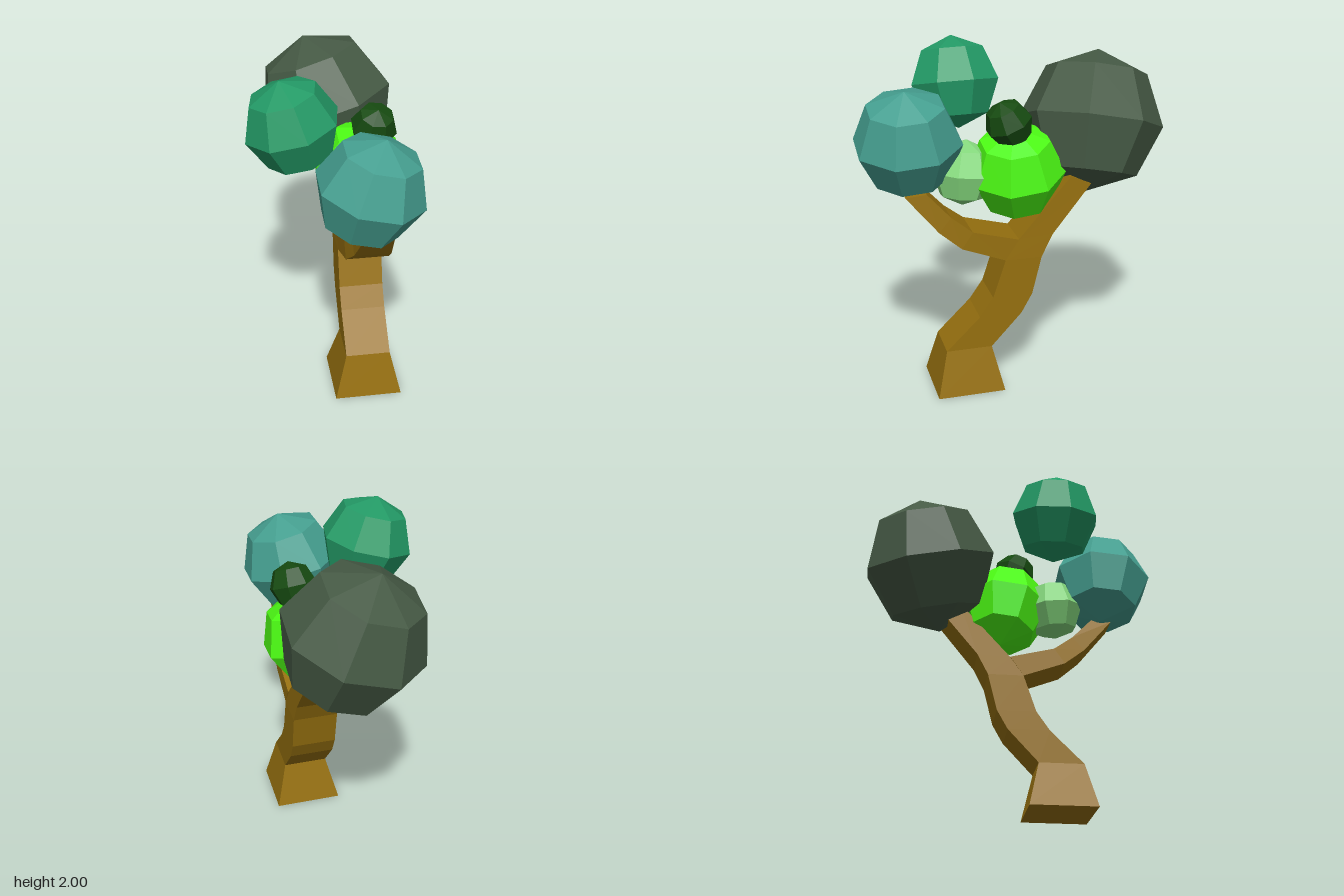
import * as THREE from 'three';

const mat = (color) => new THREE.MeshStandardMaterial({ color, flatShading: true });

// Lofts four-sided sections [frontZ, frontY, backZ, backY, minX, maxX] into a closed limb.
function limb(name, sections, material) {
  const pos = [];
  const idx = [];
  for (const [fz, fy, bz, by, x0, x1] of sections) {
    pos.push(x0, fy, fz, x1, fy, fz, x1, by, bz, x0, by, bz);
  }
  for (let s = 0; s < sections.length - 1; s++) {
    for (let i = 0; i < 4; i++) {
      const a = s * 4 + i;
      const b = s * 4 + (i + 1) % 4;
      idx.push(a, b, b + 4, a, b + 4, a + 4);
    }
  }
  const e = (sections.length - 1) * 4;
  idx.push(0, 2, 1, 0, 3, 2, e, e + 1, e + 2, e, e + 2, e + 3);
  const geo = new THREE.BufferGeometry();
  geo.setAttribute('position', new THREE.Float32BufferAttribute(pos, 3));
  geo.setIndex(idx);
  geo.computeVertexNormals();
  const mesh = new THREE.Mesh(geo, material);
  mesh.name = name;
  return mesh;
}

// Faceted foliage ball whose pole leans along the given direction.
function foliage(name, center, radius, pole, twist, color) {
  const mesh = new THREE.Mesh(new THREE.SphereGeometry(radius, 8, 4), mat(color));
  mesh.name = name;
  mesh.position.set(...center);
  const up = new THREE.Vector3(0, 1, 0);
  const turn = new THREE.Quaternion().setFromAxisAngle(up, THREE.MathUtils.degToRad(twist));
  mesh.quaternion.setFromUnitVectors(up, new THREE.Vector3(...pole).normalize()).multiply(turn);
  return mesh;
}

export function createModel() {
  const tree = new THREE.Group();
  tree.name = 'tree';
  const bark = mat(0x96700f);

  // Flared trunk that bends back and continues into the rear branch
  tree.add(limb('trunk', [
    [0.5, 0, 0.1, 0, 0, 0.4],
    [0.435, 0.27, 0.165, 0.27, 0.07, 0.335],
    [0.235, 0.467, -0.016, 0.467, 0.07, 0.335],
    [0.155, 0.583, -0.08, 0.583, 0.07, 0.335],
    [0.08, 0.81, -0.135, 0.81, 0.07, 0.335],
    [0, 0.93, -0.2, 0.94, 0.075, 0.33],
    [-0.31, 1.28, -0.43, 1.225, 0.085, 0.32],
  ], bark));

  // Front branch tapering upward from the fork
  tree.add(limb('frontBranch', [
    [0.08, 0.81, 0, 0.93, 0.07, 0.335],
    [0.334, 0.905, 0.27, 1.0, 0.075, 0.33],
    [0.46, 1.01, 0.39, 1.095, 0.1, 0.315],
    [0.64, 1.225, 0.52, 1.235, 0.122, 0.29],
  ], bark));

  // Foliage balls
  tree.add(
    foliage('rearFoliage', [0.078, 1.53, -0.507], 0.42, [-0.3, 0.935, -0.19], 22.5, 0x465a45),
    foliage('frontFoliage', [0.158, 1.508, 0.593], 0.311, [0.24, 0.97, 0.08], 22.5, 0x459f90),
    foliage('upperFoliage', [-0.215, 1.74, 0.242], 0.272, [-0.25, 0.97, 0.02], 12, 0x239a66),
    foliage('middleFoliage', [0.2, 1.305, -0.02], 0.283, [0.25, 0.95, 0.12], 22.5, 0x4cfa14),
    foliage('innerFoliage', [0.15, 1.3, 0.275], 0.19, [-0.1, 0.97, -0.1], 22.5, 0x86da7e),
    foliage('smallFoliage', [0.275, 1.605, 0.047], 0.137, [0.1, 0.9, 0.4], 22.5, 0x164a10),
  );
  return tree;
}
